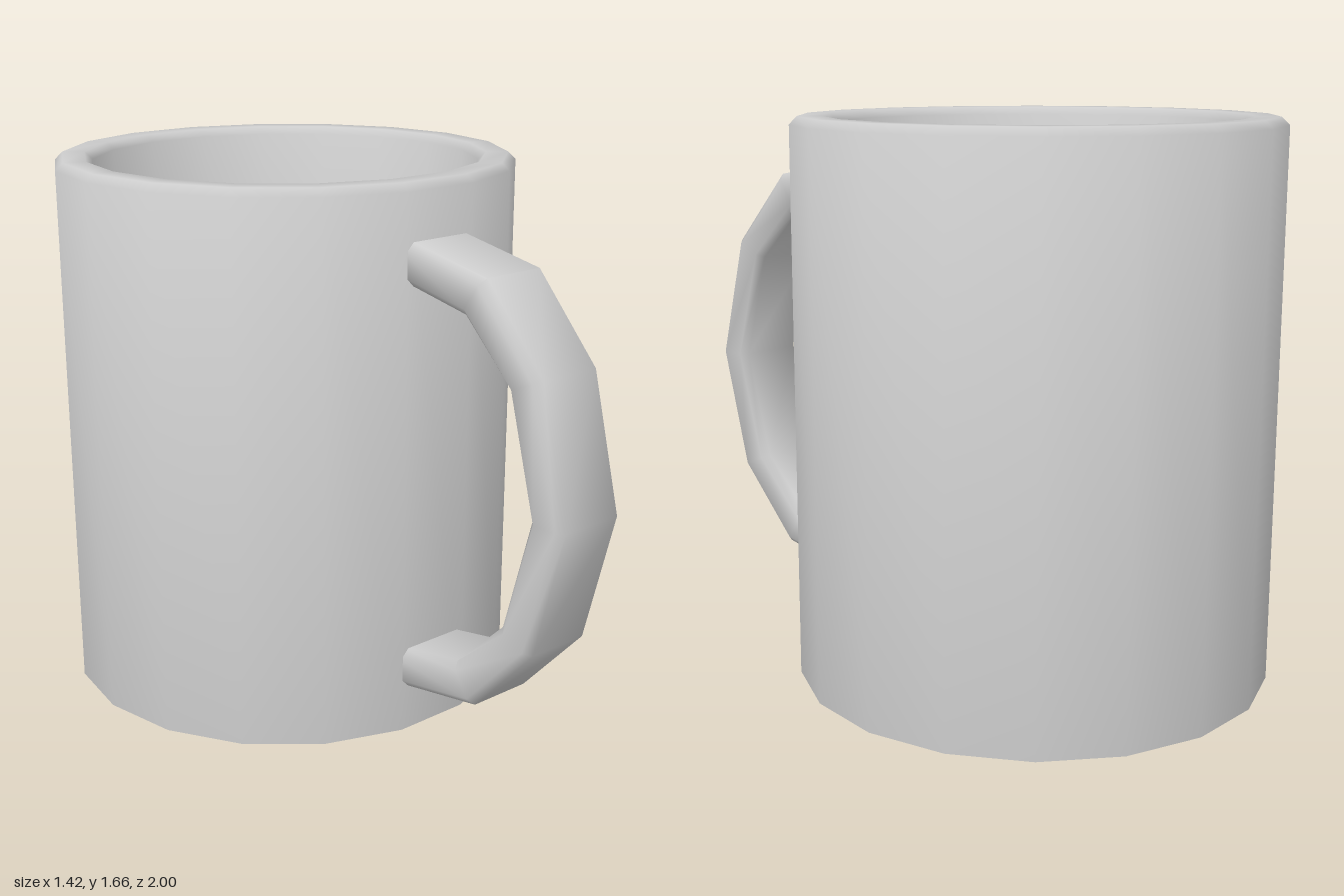
import * as THREE from 'three';
import { toCreasedNormals } from 'three/addons/utils/BufferGeometryUtils.js';

const CREASE = 0.95; // bevels and facets shade smoothly, right angles stay sharp

const v2 = ([x, y]) => new THREE.Vector2(x, y);

// Hollow 18-sided cup: base, outer wall, bevelled rim, inner wall, floor
function cupGeometry() {
  const profile = [
    [0, 0], [0.71, 0], [0.71, 1.637], [0.687, 1.66],
    [0.618, 1.66], [0.595, 1.637], [0.595, 0.11], [0, 0.11],
  ].map(v2);
  return toCreasedNormals(new THREE.LatheGeometry(profile, 18, Math.PI / 2), CREASE);
}

// Bevelled rectangular section swept between an inner and an outer outline
function handleGeometry() {
  // [z, y] from the upper root to the middle, mirrored about y = 0.82
  const mirror = (half) => [...half, ...half.slice(0, -1).reverse().map(([z, y]) => [z, 1.64 - y])];
  const outer = mirror([[0.34, 1.508], [0.685, 1.445], [0.9, 1.21], [1, 0.82]]);
  const inner = mirror([[0.34, 1.385], [0.61, 1.333], [0.785, 1.163], [0.88, 0.82]]);

  // [x, fraction from inner to outer], counter-clockwise along the path
  const w = 0.122, b = 0.022, t = 0.18;
  const section = [
    [w, t], [w, 1 - t], [w - b, 1], [b - w, 1],
    [-w, 1 - t], [-w, t], [b - w, 0], [w - b, 0],
  ];
  const n = section.length;
  const positions = [], index = [];
  outer.forEach(([oz, oy], i) => {
    const [iz, iy] = inner[i];
    section.forEach(([x, f], j) => {
      positions.push(x, iy + (oy - iy) * f, iz + (oz - iz) * f);
      if (i === outer.length - 1) return;
      const a = i * n + j, c = i * n + (j + 1) % n;
      index.push(a, c, c + n, a, c + n, a + n);
    });
  });
  const geometry = new THREE.BufferGeometry();
  geometry.setAttribute('position', new THREE.Float32BufferAttribute(positions, 3));
  geometry.setIndex(index);
  return toCreasedNormals(geometry, CREASE);
}

export function createModel() {
  const material = new THREE.MeshStandardMaterial({ color: 0xcccccc });
  const mug = new THREE.Group();
  mug.name = 'mug';

  const cup = new THREE.Mesh(cupGeometry(), material);
  cup.name = 'cup';
  cup.position.z = -0.3;

  const handle = new THREE.Mesh(handleGeometry(), material);
  handle.name = 'handle';

  mug.add(cup, handle);
  return mug;
}
